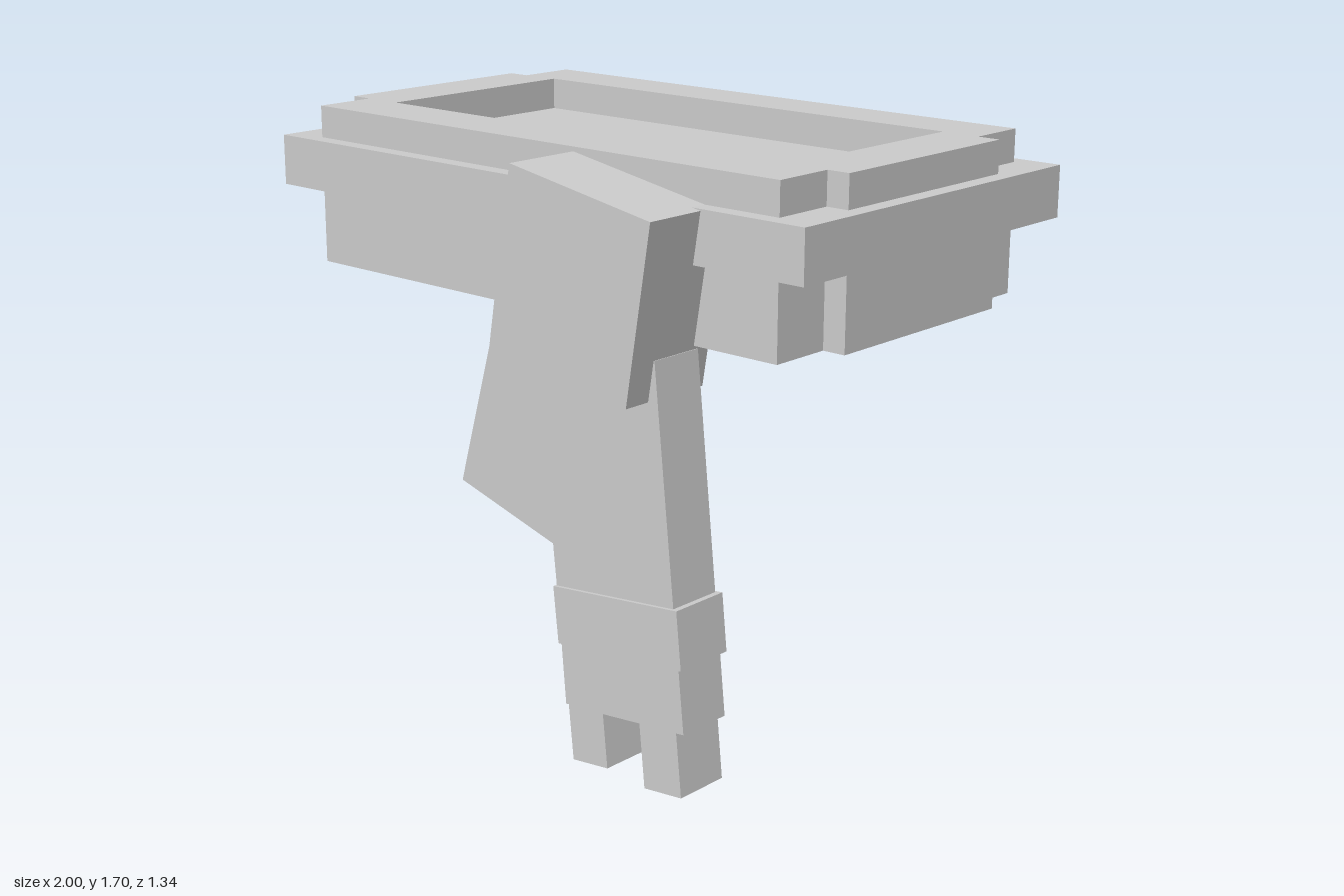
import * as THREE from 'three';

const grey = new THREE.MeshStandardMaterial({ color: 0xcccccc });
grey.name = 'plain grey';

// Closed shape from [x, y] corners
function outline(points) {
  return new THREE.Shape(points.map(([x, y]) => new THREE.Vector2(x, y)));
}

// Upright slab drawn in the front plane, spanning z0 to z1
function frontSlab(name, points, z0, z1) {
  const geometry = new THREE.ExtrudeGeometry(outline(points), { depth: z1 - z0, bevelEnabled: false });
  const mesh = new THREE.Mesh(geometry.translate(0, 0, z0), grey);
  mesh.name = name;
  return mesh;
}

// Frame with stepped corners and a rectangular opening, spanning y0 to y1
function steppedFrame(name, y0, y1) {
  const half = [[0.88, -0.43], [0.88, -0.24], [0.95, -0.24], [0.95, 0.435], [0.88, 0.435], [0.88, 0.62]];
  const mirrored = half.map(([x, y]) => [-x, y]).reverse();
  const shape = outline([...half, ...mirrored]);
  const opening = [[-0.76, -0.24], [-0.76, 0.44], [0.76, 0.44], [0.76, -0.24]];
  shape.holes.push(new THREE.Path(opening.map(([x, y]) => new THREE.Vector2(x, y))));
  const geometry = new THREE.ExtrudeGeometry(shape, { depth: y1 - y0, bevelEnabled: false });
  const mesh = new THREE.Mesh(geometry.rotateX(-Math.PI / 2).translate(0, y0, 0), grey);
  mesh.name = name;
  return mesh;
}

export function createModel() {
  const model = new THREE.Group();
  model.name = 'trayWithArm';

  // Tray: solid plate between two open frames
  const plate = new THREE.Mesh(new THREE.BoxGeometry(2, 0.15, 1.15), grey);
  plate.name = 'plate';
  plate.position.set(0, 1.535, -0.095);
  model.add(plate, steppedFrame('upperFrame', 1.61, 1.705), steppedFrame('lowerFrame', 1.23, 1.46));

  // Tilted block against the front of the tray
  model.add(frontSlab('shoulderBlock',
    [[0.08, 1.19], [0.58, 1.105], [0.663, 1.605], [0.167, 1.692]], 0.37, 0.67));

  // Slanted brace behind the arm
  model.add(frontSlab('brace',
    [[-0.163, 0.72], [0.197, 0.615], [0.365, 1.195], [0.005, 1.3]], 0.41, 0.555));

  // Arm, cuff and two-pronged end
  model.add(frontSlab('arm',
    [[0.241, 0.51], [0.671, 0.553], [0.602, 1.22], [0.17, 1.177]], 0.415, 0.585));
  model.add(frontSlab('cuff',
    [[0.237, 0.51], [0.69, 0.557], [0.707, 0.391], [0.255, 0.345]], 0.408, 0.595));
  model.add(frontSlab('prongedEnd', [
    [0.257, 0.345], [0.273, 0.165], [0.283, 0.166], [0.3, 0.003], [0.43, 0.017], [0.414, 0.176],
    [0.55, 0.19], [0.569, 0.003], [0.702, 0.017], [0.683, 0.202], [0.709, 0.205], [0.69, 0.389],
  ], 0.415, 0.585));

  // Stand the prongs on the ground
  model.position.y = -0.003;
  return model;
}
